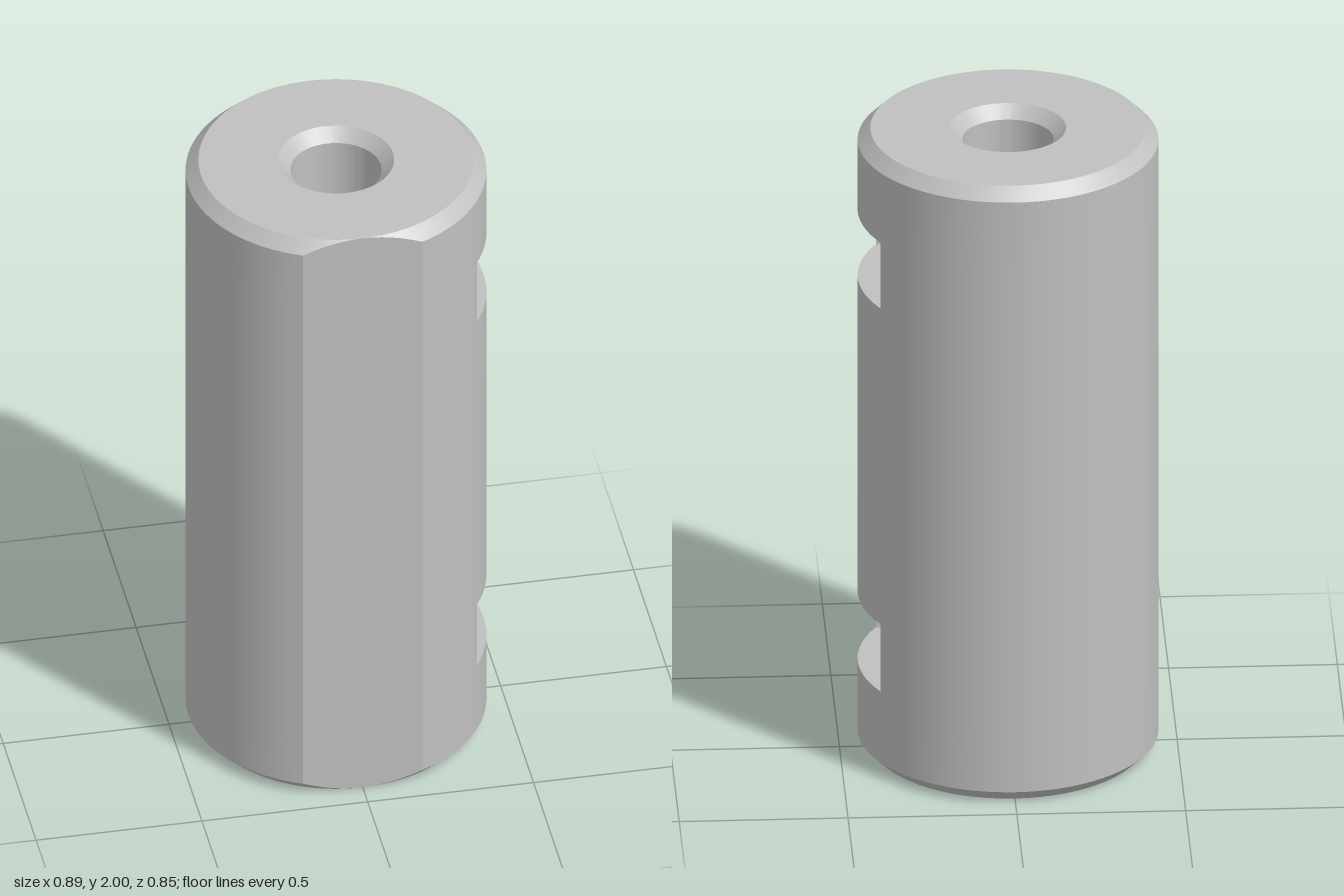
import * as THREE from 'three';
import { toCreasedNormals } from 'three/addons/utils/BufferGeometryUtils.js';

const R = 0.445, FLAT = 0.407, CHAMFER = R - FLAT, H = 2, Z0 = 0.018;
const BORE = 0.135, BORE_MOUTH = 0.172;
const SLOT_FLOOR = 0.16;
const SLOTS = [[0.27, 0.49], [1.52, 1.735]];
const SLOT_FRONT = Math.acos(0.232 / R), SLOT_BACK = Math.acos(-0.218 / R);

// Angles run from the front (+z) round towards +x, with exact stops at the edges
function makeAngles() {
  const edge = Math.acos(FLAT / R);
  const stops = [-edge, 0, edge, SLOT_FRONT, SLOT_BACK, Math.PI, 2 * Math.PI - edge];
  const angles = [];
  for (let i = 0; i < stops.length - 1; i++) {
    const n = Math.ceil((stops[i + 1] - stops[i]) / 0.07);
    for (let k = 0; k < n; k++) angles.push(stops[i] + (stops[i + 1] - stops[i]) * k / n);
  }
  angles.push(stops[stops.length - 1]);
  return angles;
}

// Outer radius, cut by the front flat
function outerRadius(t) {
  const c = Math.cos(t);
  return c > FLAT / R ? FLAT / c : R;
}

const polar = (t, r, y) => [r * Math.sin(t), y, Z0 + r * Math.cos(t)];

export function createModel() {
  const group = new THREE.Group();
  const steel = new THREE.MeshStandardMaterial({ color: 0xc0c0c0 });
  steel.name = 'steel grey';
  const angles = makeAngles();

  function addMesh(name, quads) {
    const pos = [];
    for (const [a, b, c, d] of quads) pos.push(...a, ...b, ...c, ...a, ...c, ...d);
    const geo = new THREE.BufferGeometry();
    geo.setAttribute('position', new THREE.Float32BufferAttribute(pos, 3));
    const mesh = new THREE.Mesh(toCreasedNormals(geo, 0.3), steel);
    mesh.name = name;
    group.add(mesh);
  }

  // Sweep a profile, given per angle as [radius, y] points, around the axis
  function sweep(profile, skip = () => false) {
    const quads = [];
    for (let i = 0; i < angles.length - 1; i++) {
      const a = angles[i], b = angles[i + 1], pa = profile(a), pb = profile(b);
      for (let j = 0; j < pa.length - 1; j++) {
        if (skip((a + b) / 2, j)) continue;
        quads.push([polar(a, ...pa[j]), polar(b, ...pb[j]), polar(b, ...pb[j + 1]), polar(a, ...pa[j + 1])]);
      }
    }
    return quads;
  }

  // Outer wall with chamfered ends, left open at the two slots
  const inSlot = (t) => t > SLOT_FRONT && t < SLOT_BACK;
  addMesh('outerWall', sweep((t) => {
    const r = outerRadius(t), c = r - FLAT;
    return [[FLAT, 0], [r, c], ...SLOTS.flat().map((y) => [r, y]), [r, H - c], [FLAT, H]];
  }, (t, j) => inSlot(t) && (j === 2 || j === 4)));

  // Ring-shaped ends
  addMesh('bottomFace', sweep(() => [[BORE_MOUTH, 0], [FLAT, 0]]));
  addMesh('topFace', sweep(() => [[FLAT, H], [BORE_MOUTH, H]]));

  // Through bore with countersunk mouths
  const sink = BORE_MOUTH - BORE;
  addMesh('bore', sweep(() => [[BORE_MOUTH, H], [BORE, H - sink], [BORE, sink], [BORE_MOUTH, 0]]));

  // Side slots: ledges, inner face and end walls
  const slotAngles = angles.filter((t) => t > SLOT_FRONT - 1e-6 && t < SLOT_BACK + 1e-6);
  const outer = (t, y) => polar(t, R, y);
  const inner = (t, y) => [SLOT_FLOOR, y, Z0 + R * Math.cos(t)];
  SLOTS.forEach(([lo, hi], s) => {
    const quads = [];
    for (let i = 0; i < slotAngles.length - 1; i++) {
      const a = slotAngles[i], b = slotAngles[i + 1];
      quads.push([outer(a, lo), outer(b, lo), inner(b, lo), inner(a, lo)]);
      quads.push([inner(a, hi), inner(b, hi), outer(b, hi), outer(a, hi)]);
    }
    const f = SLOT_FRONT, k = SLOT_BACK;
    quads.push([inner(f, lo), inner(k, lo), inner(k, hi), inner(f, hi)]);
    quads.push([outer(f, lo), inner(f, lo), inner(f, hi), outer(f, hi)]);
    quads.push([inner(k, lo), outer(k, lo), outer(k, hi), inner(k, hi)]);
    addMesh(s ? 'upperSlot' : 'lowerSlot', quads);
  });

  return group;
}
